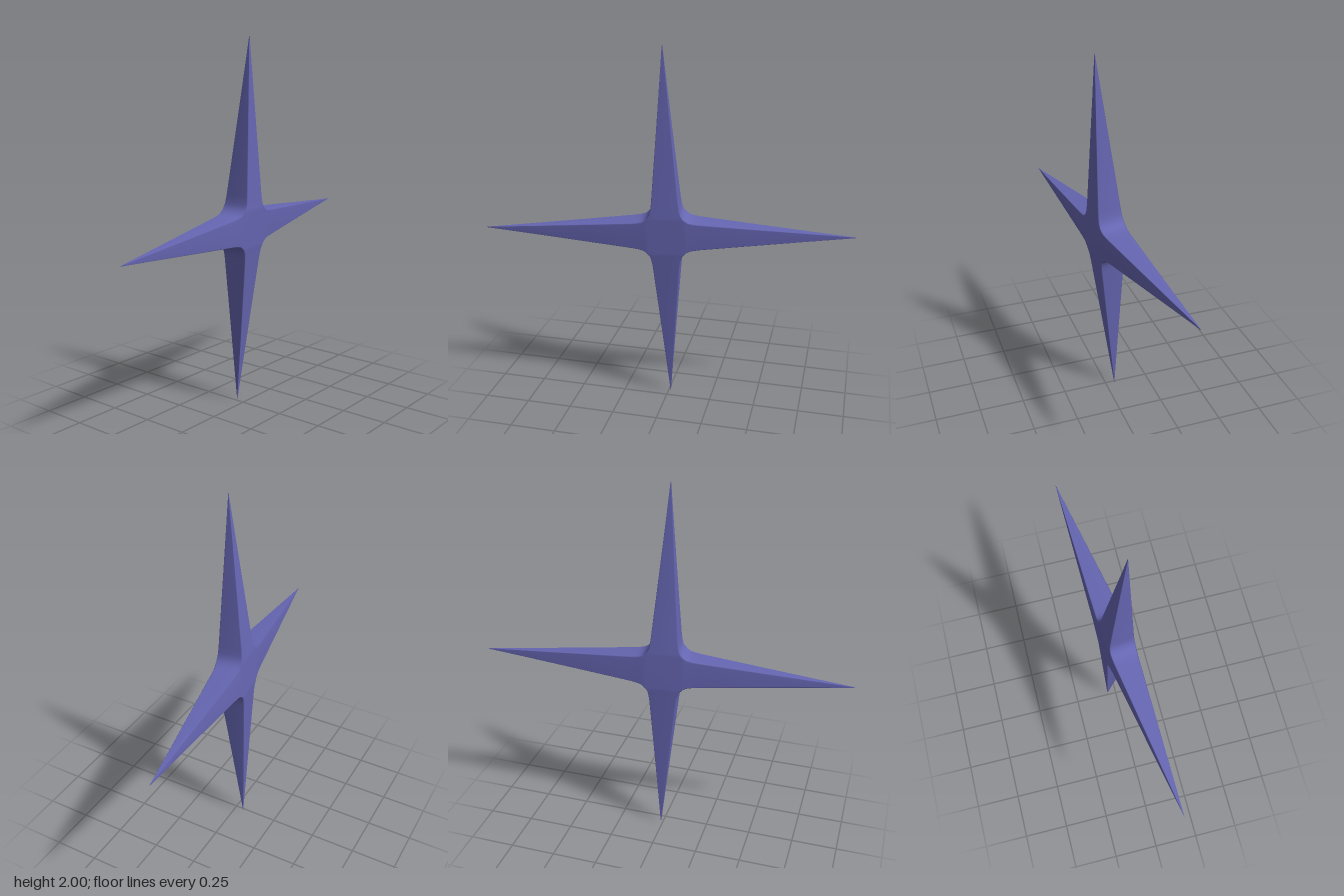
import * as THREE from 'three';
import { mergeVertices } from 'three/addons/utils/BufferGeometryUtils.js';

// Stations along one arm: [distance from centre, half width].
// The first few form the rounded inner corner between arms.
const STATIONS = [
  [0.1, 0.1], [0.108, 0.092], [0.122, 0.083], [0.145, 0.077],
  [0.18, 0.072], [0.45, 0.048], [0.75, 0.022], [0.99, 0.002],
];
const halfThickness = (r) => 0.08 * (1 - r);

// Softly bevelled square cross-section, as [r, s, z] points
function ring([r, w], first) {
  const t = halfThickness(r);
  const b = 0.07 * Math.min(w, t);
  const ri = first ? r - b : r; // keep the bevel on the diagonal at the corner
  return [
    [r, w, -(t - b)], [r, w, t - b], [ri, w - b, t], [ri, -(w - b), t],
    [r, -w, t - b], [r, -w, -(t - b)], [ri, -(w - b), -t], [ri, w - b, -t],
  ];
}

function starGeometry() {
  const pos = [];
  const tri = (...pts) => pts.forEach((p) => pos.push(...p));
  const rings = STATIONS.map((s, i) => ring(s, i === 0));
  const front = [];
  const back = [];

  // Four arms, each a quarter turn from the last
  for (const [c, s] of [[1, 0], [0, 1], [-1, 0], [0, -1]]) {
    const turn = ([x, y, z]) => [c * x - s * y, s * x + c * y, z];
    const arm = rings.map((points) => points.map(turn));
    const tip = turn([1, 0, 0]);
    arm.forEach((a, i) => {
      const next = arm[i + 1];
      for (let j = 0; j < 8; j++) {
        const k = (j + 1) % 8;
        if (!next) {
          tri(a[j], a[k], tip);
          continue;
        }
        tri(a[j], a[k], next[k]);
        tri(a[j], next[k], next[j]);
      }
    });
    front.push(arm[0][2]);
    back.push(arm[0][7]);
  }

  // Flat centre on the front and back
  tri(front[0], front[1], front[2]);
  tri(front[0], front[2], front[3]);
  tri(back[0], back[2], back[1]);
  tri(back[0], back[3], back[2]);

  const geometry = new THREE.BufferGeometry();
  geometry.setAttribute('position', new THREE.Float32BufferAttribute(pos, 3));
  const merged = mergeVertices(geometry, 1e-5);
  merged.computeVertexNormals();
  return merged;
}

export function createModel() {
  const violet = new THREE.MeshStandardMaterial({ color: 0x6666b3 });
  violet.name = 'violet';

  const star = new THREE.Mesh(starGeometry(), violet);
  star.name = 'fourPointedStar';
  star.position.y = 1;
  star.rotation.set(0.05, 0.105, 0.012); // slight tilt

  const model = new THREE.Group();
  model.name = 'star';
  model.add(star);
  return model;
}
